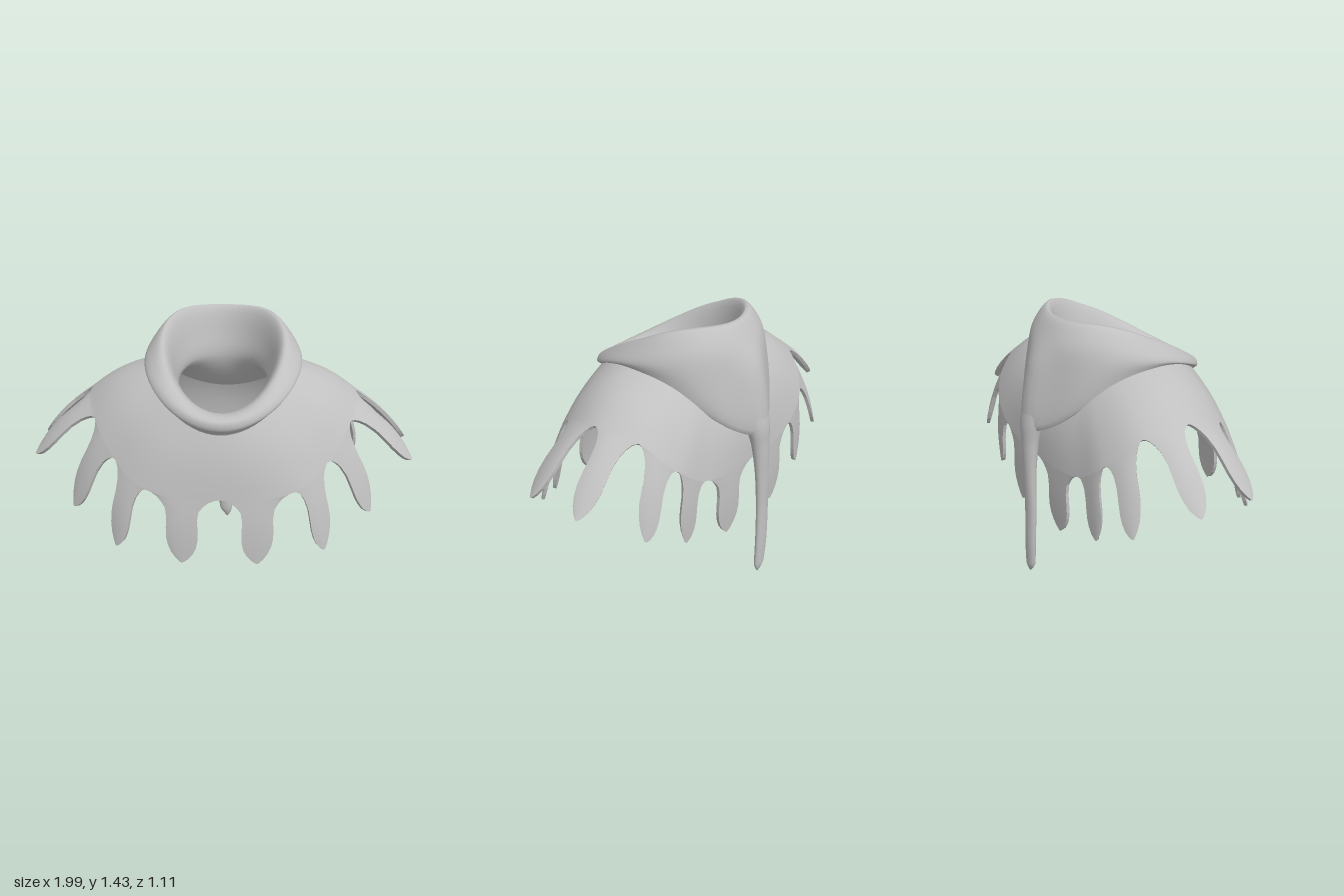
import * as THREE from 'three';
import { mergeVertices, mergeGeometries } from 'three/addons/utils/BufferGeometryUtils.js';

const V = (x, y, z) => new THREE.Vector3(x, y, z);

// Surface through rows of points; rows run downwards, columns counterclockwise from above
function loft(rows) {
  const n = rows[0].length, index = [];
  for (let r = 0; r < rows.length - 1; r++) {
    for (let c = 0; c < n - 1; c++) {
      const a = r * n + c, b = a + n;
      index.push(a, b, a + 1, b, b + 1, a + 1);
    }
  }
  const g = new THREE.BufferGeometry().setFromPoints(rows.flat());
  g.setIndex(index);
  return g;
}

function smooth(g) {
  const m = mergeVertices(g, 1e-4);
  m.computeVertexNormals();
  return m;
}

// Gives a cloth surface an inner side and a rim along its open edges
function thicken(g, depth) {
  const outer = smooth(g), p = outer.attributes.position, nrm = outer.attributes.normal;
  const idx = Array.from(outer.index.array);
  const at = i => V().fromBufferAttribute(p, i);
  const under = i => at(i).addScaledVector(V().fromBufferAttribute(nrm, i), -depth);
  const inner = new THREE.BufferGeometry().setFromPoints(Array.from({ length: p.count }, (_, i) => under(i)));
  inner.setIndex(idx.slice().reverse());
  inner.computeVertexNormals();
  const edges = new Set();
  for (let i = 0; i < idx.length; i += 3) {
    for (let k = 0; k < 3; k++) edges.add(idx[i + k] + '_' + idx[i + (k + 1) % 3]);
  }
  const rim = [];
  for (const e of edges) {
    const [a, b] = e.split('_').map(Number);
    if (edges.has(b + '_' + a)) continue;
    rim.push(at(a), under(a), at(b), at(b), under(a), under(b));
  }
  const edge = new THREE.BufferGeometry().setFromPoints(rim);
  edge.setIndex(rim.map((_, i) => i));
  edge.computeVertexNormals();
  return mergeGeometries([outer, inner, edge]);
}

// Point on a tilted oval ring: half width, front and back reach, heights at front, side, back
function ringPoint([rx, zf, zb, yf, ys, yb], a) {
  const c = Math.cos(a), s = Math.sin(a);
  const y = ys + (yf - yb) / 2 * c + ((yf + yb) / 2 - ys) * Math.abs(c) ** (c > 0 ? 1.8 : 2.8);
  return V(rx * s, y, (c > 0 ? zf : zb) * c);
}

// Notches and finger tips of one half, from front centre round to back centre
const NOTCHES = [
  [0, 0.68, 0.51], [0.36, 0.71, 0.475], [0.53, 0.82, 0.36], [0.65, 0.97, 0.19], [0.70, 1.045, -0.05],
  [0.64, 1.0, -0.27], [0.53, 0.85, -0.41], [0.36, 0.73, -0.45], [0, 0.70, -0.47],
];
const TIPS = [
  [0.19, 0.34, 0.545], [0.53, 0.39, 0.475], [0.77, 0.52, 0.30], [0.995, 0.73, 0.11],
  [0.995, 0.73, -0.19], [0.75, 0.56, -0.39], [0.50, 0.43, -0.435], [0.20, 0.34, -0.465],
];
const mirror = p => [-p[0], p[1], p[2]];
const NECK = [0.38, 0.42, 0.41, 1.02, 1.22, 0.98];
// Finger outline: distance along the finger, share of full width
const FINGER = [
  [0, 1], [0.015, 0.88], [0.05, 0.76], [0.11, 0.65], [0.2, 0.56], [0.35, 0.51], [0.5, 0.53],
  [0.65, 0.53], [0.77, 0.47], [0.87, 0.36], [0.95, 0.2], [1, 0.04],
];

function collarGeometry() {
  const notches = [...NOTCHES, ...NOTCHES.slice(1, -1).reverse().map(mirror)].map(p => V(...p));
  const tips = [...TIPS, ...TIPS.slice().reverse().map(mirror)].map(p => V(...p));
  const hem = new THREE.CatmullRomCurve3(notches, true);
  const count = tips.length, cols = 10, bodyRows = 10;
  const sectors = tips.map((tip, i) => {
    const base = Array.from({ length: cols + 1 }, (_, c) => hem.getPoint(((i + c / cols) / count) % 1));
    const mid = base[cols / 2], rows = [];
    // Draped cloth from neck to hem
    for (let r = 0; r < bodyRows; r++) {
      const t = r / bodyRows, puff = 0.016 * Math.sin(Math.PI * t);
      rows.push(base.map(m => {
        const a = Math.atan2(m.x / 0.68, m.z / 0.48);
        return ringPoint(NECK, a).lerp(m, t).add(V(Math.sin(a) * puff, puff, Math.cos(a) * puff * 0.6));
      }));
    }
    // Hanging finger, slightly arched outwards; wide gaps leave slimmer fingers
    const slim = Math.min(1, 0.3 / base[0].distanceTo(base[cols]));
    for (const [v, w] of FINGER) {
      const arch = 0.016 * Math.sin(Math.PI * v);
      const centre = mid.clone().lerp(tip, v).add(V(tip.x * arch, Math.abs(tip.x) * arch, tip.z * arch));
      const width = w * THREE.MathUtils.lerp(1, slim, Math.min(1, v / 0.2));
      rows.push(base.map(m => m.clone().sub(mid).multiplyScalar(width).add(centre)));
    }
    return loft(rows);
  });
  return thicken(mergeGeometries(sectors), 0.018);
}

// Closed section of the rolled cowl: rim, outside, seam, underside, hole, lining
const COWL = [
  [0.31, 0.40, 0.335, 1.085, 1.34, 1.425],
  [0.375, 0.455, 0.415, 1.07, 1.29, 1.33],
  [0.405, 0.46, 0.45, 1.03, 1.24, 1.18],
  [0.39, 0.43, 0.485, 0.99, 1.2, 0.86],
  [0.41, 0.425, 0.40, 0.91, 1.13, 0.94],
  [0.24, 0.24, 0.28, 0.98, 1.09, 1.13],
  [0.25, 0.30, 0.29, 1.05, 1.21, 1.28],
];

function cowlGeometry() {
  const around = 72, along = 35;
  const sections = Array.from({ length: around + 1 }, (_, i) => {
    const a = (i % around) / around * Math.PI * 2;
    const pts = COWL.map((ring, k) => {
      const p = ringPoint(ring, a);
      // Pointed back that runs into the tail
      if ((k === 2 || k === 3) && p.z < 0) p.z -= 0.045 * Math.exp(-((p.x / 0.1) ** 2));
      return p;
    });
    return new THREE.CatmullRomCurve3(pts, true).getPoints(along);
  });
  return smooth(loft(Array.from({ length: along + 1 }, (_, r) => sections.map(s => s[r]))));
}

// Tail sections: x, y, z, half width, half depth
const TAIL = [
  [0, 1.12, -0.43, 0.06, 0.04], [0, 1.02, -0.47, 0.075, 0.05], [0, 0.92, -0.49, 0.075, 0.055],
  [-0.005, 0.8, -0.51, 0.055, 0.042], [-0.012, 0.62, -0.525, 0.045, 0.03], [-0.018, 0.4, -0.533, 0.043, 0.024],
  [-0.012, 0.2, -0.54, 0.042, 0.023], [-0.003, 0.06, -0.54, 0.036, 0.02], [0.003, 0.025, -0.54, 0.02, 0.012],
  [0.004, 0, -0.54, 0.001, 0.001],
];

function tailGeometry() {
  const path = new THREE.CatmullRomCurve3(TAIL.map(([x, y, z]) => V(x, y, z)));
  const size = new THREE.CatmullRomCurve3(TAIL.map(([, , , w, d]) => V(w, d, 0)));
  const steps = 45, sides = 20, rows = [];
  for (let i = 0; i <= steps; i++) {
    const p = path.getPoint(i / steps), s = size.getPoint(i / steps);
    rows.push(Array.from({ length: sides + 1 }, (_, k) => {
      const a = (k % sides) / sides * Math.PI * 2;
      return V(p.x + Math.sin(a) * s.x, p.y, p.z + Math.cos(a) * s.y);
    }));
  }
  return smooth(loft(rows));
}

export function createModel() {
  const cloth = new THREE.MeshStandardMaterial({ color: 0xc0c0c0 });
  cloth.name = 'greyCloth';
  const model = new THREE.Group();
  model.name = 'fringedCowl';
  const add = (name, geometry) => {
    const mesh = new THREE.Mesh(geometry, cloth);
    mesh.name = name;
    model.add(mesh);
  };
  add('fringedCollar', collarGeometry());
  add('rolledCowl', cowlGeometry());
  add('hoodTail', tailGeometry());
  return model;
}
